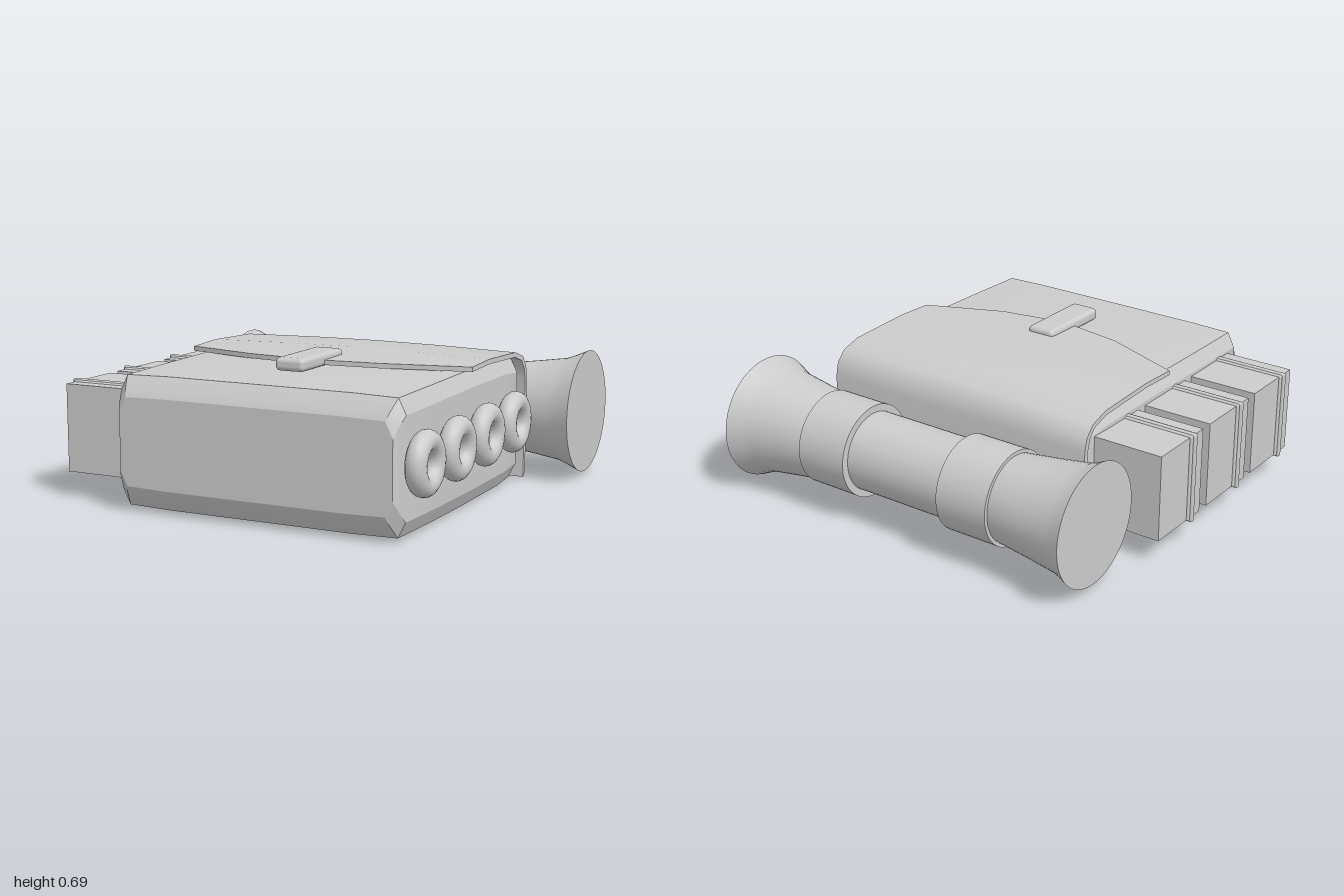
import * as THREE from 'three';
import { toCreasedNormals } from 'three/addons/utils/BufferGeometryUtils.js';
import { RoundedBoxGeometry } from 'three/addons/geometries/RoundedBoxGeometry.js';

const material = new THREE.MeshStandardMaterial({ color: 0xcccccc });

function add(parent, name, geometry, x = 0, y = 0, z = 0) {
  const mesh = new THREE.Mesh(geometry, material);
  mesh.name = name;
  mesh.position.set(x, y, z);
  parent.add(mesh);
  return mesh;
}

// Skin a list of rings (each counter-clockwise seen from the first ring's side) and close both ends
function loft(rings, crease = 0.5) {
  const n = rings[0].length, last = (rings.length - 1) * n, index = [];
  for (let r = 0; r < last; r += n) {
    for (let j = 0; j < n; j++) {
      const a = r + j, b = r + (j + 1) % n;
      index.push(a, a + n, b, b, a + n, b + n);
    }
  }
  for (let i = 0; i < n / 2 - 1; i++) {
    const a = i, b = i + 1, c = n - 2 - i, d = n - 1 - i;
    index.push(a, b, c, a, c, d);
    index.push(last + a, last + c, last + b, last + a, last + d, last + c);
  }
  const geometry = new THREE.BufferGeometry();
  geometry.setAttribute('position', new THREE.Float32BufferAttribute(rings.flat(2), 3));
  geometry.setIndex(index);
  return toCreasedNormals(geometry, crease);
}

// Bag body: bevelled sections from front to back
function bodyGeometry() {
  const cx = 0.06;
  const section = ([z, w, y0, y1, bulge]) => {
    const right = [
      [w * 0.65, y0 - bulge], [w - 0.035, y0], [w, y0 + 0.07],
      [w, y1 - 0.07], [w - 0.035, y1], [w * 0.65, y1 + bulge],
    ];
    const left = right.map(([x, y]) => [-x, y]).reverse();
    return [...right, ...left].map(([x, y]) => [cx + x, y, z]);
  };
  return loft([
    [0.97, 0.665, 0.12, 0.52, 0.005],
    [0.955, 0.675, 0.09, 0.55, 0.005],
    [0.905, 0.695, 0.02, 0.61, 0.005],
    [0.6, 0.7, 0.015, 0.615, 0.01],
    [0.2, 0.7, 0.012, 0.62, 0.012],
    [-0.2, 0.7, 0.015, 0.62, 0.01],
    [-0.36, 0.695, 0.025, 0.605, 0.005],
    [-0.415, 0.67, 0.09, 0.54, 0.005],
  ].map(section), 0.4);
}

// Flap: a thin sheet up the back and over the top, with a pointed front edge
function flapGeometry() {
  const stations = [[0.775, 0.25, -0.012], [0.39, 0.39, -0.003], [0.06, 0.44, 0], [-0.27, 0.39, -0.003], [-0.66, 0.25, -0.012]];
  return loft(stations.map(([x, front, drop]) => {
    const outer = [
      [0.02, -0.43], [0.15, -0.44], [0.5, -0.44], [0.575, -0.425],
      [0.625, -0.38], [0.655, -0.28], [0.668, 0.05], [0.66, front],
    ];
    const inner = [
      [0.02, -0.41], [0.15, -0.415], [0.5, -0.415], [0.565, -0.4],
      [0.605, -0.365], [0.632, -0.275], [0.645, 0.05], [0.638, front],
    ];
    return [...outer, ...inner.reverse()].map(([y, z]) => [x, y + (y > 0.55 ? drop : 0), z]);
  }), 0.55);
}

// Bedroll: lathe pieces laid along x
function lathe(points) {
  const profile = points.map(([x, r]) => new THREE.Vector2(r, -x)).reverse();
  return toCreasedNormals(new THREE.LatheGeometry(profile, 48).rotateZ(Math.PI / 2), 0.5);
}

export function createModel() {
  const model = new THREE.Group();
  model.name = 'backpack';

  add(model, 'bagBody', bodyGeometry());
  add(model, 'flap', flapGeometry());
  add(model, 'flapStrap', new RoundedBoxGeometry(0.145, 0.06, 0.395, 3, 0.022), 0.0625, 0.66, 0.435);

  // Bedroll with flared ends and two tie bands
  const bedroll = new THREE.Group();
  bedroll.name = 'bedroll';
  bedroll.position.set(0, 0.318, -0.675);
  model.add(bedroll);
  add(bedroll, 'roll', lathe([
    [-0.875, 0], [-0.875, 0.283], [-0.835, 0.265], [-0.79, 0.249], [-0.63, 0.226], [-0.46, 0.205], [-0.3, 0.188],
    [0.45, 0.188], [0.605, 0.21], [0.75, 0.23], [0.89, 0.251], [0.94, 0.27], [1, 0.296], [1, 0],
  ]));
  for (const [a, b] of [[-0.46, -0.195], [0.34, 0.605]]) {
    add(bedroll, 'rollBand', lathe([[a, 0.15], [a, 0.222], [b, 0.222], [b, 0.15]]));
  }

  // Side pouches, each held by a ribbed strap
  for (let i = 0; i < 3; i++) {
    const pouch = new THREE.Group();
    pouch.name = 'sidePouch';
    pouch.position.set(0, 0.325, -0.155 + i * 0.41);
    model.add(pouch);
    add(pouch, 'pouchBox', new THREE.BoxGeometry(0.38, 0.41, 0.35), -0.79, 0, 0);
    add(pouch, 'pouchStrap', new RoundedBoxGeometry(0.4, 0.424, 0.052, 2, 0.01), -0.79, 0, 0.087);
    add(pouch, 'pouchStrapRib', new RoundedBoxGeometry(0.4, 0.436, 0.026, 2, 0.01), -0.8, 0, 0.087);
  }

  // Row of rings with studs on the other side
  for (let i = 0; i < 4; i++) {
    const z = 0.825 - i * 0.339;
    add(model, 'sideRing', new THREE.TorusGeometry(0.0965, 0.0475, 16, 32).rotateY(Math.PI / 2), 0.807, 0.33, z);
    add(model, 'ringStud', new THREE.SphereGeometry(0.028, 16, 12), 0.775, 0.33, z - 0.165);
  }
  return model;
}
